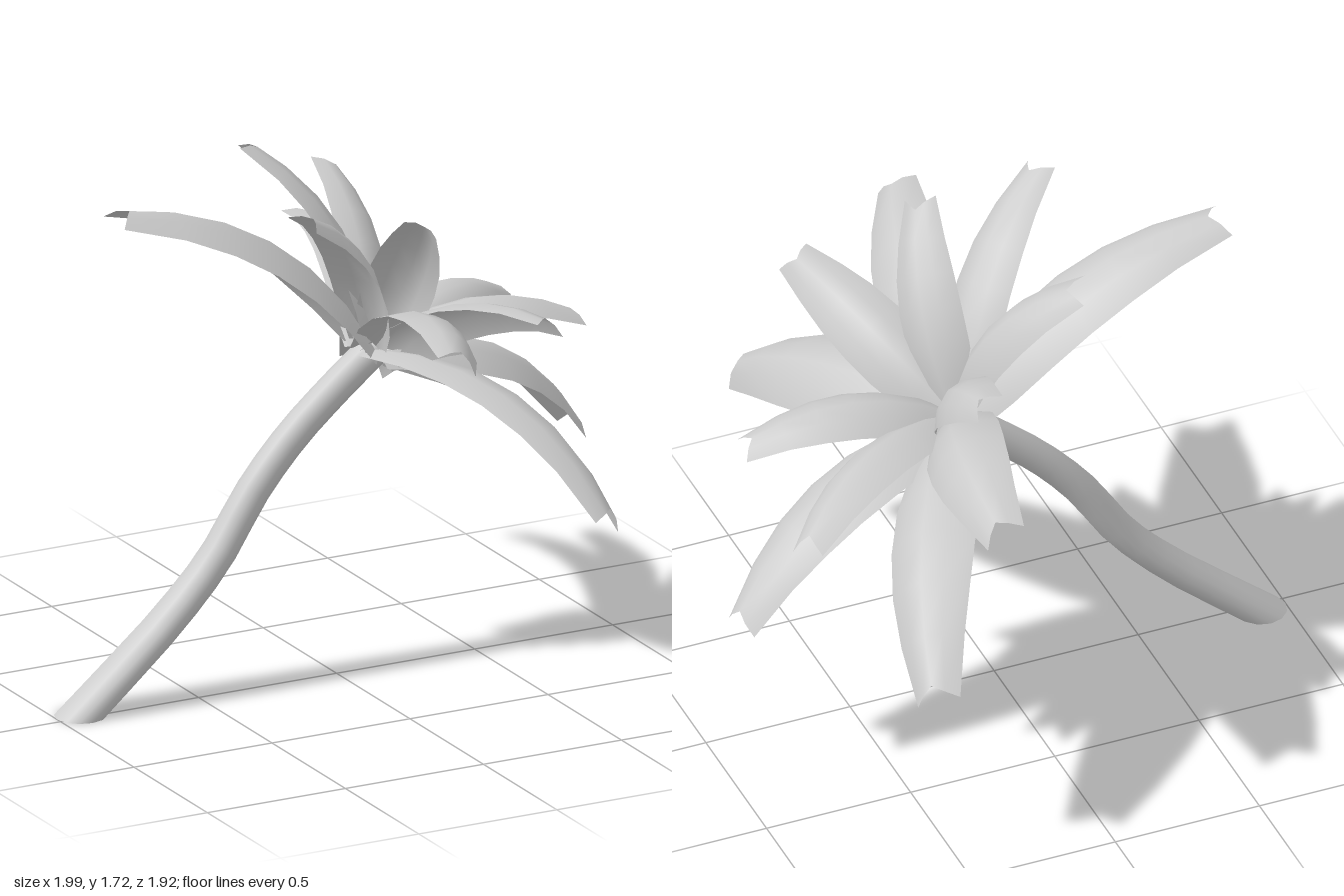
import * as THREE from 'three';
import { toCreasedNormals } from 'three/addons/utils/BufferGeometryUtils.js';

const material = new THREE.MeshStandardMaterial({ color: 0xcccccc, side: THREE.DoubleSide });
const V = (x, y, z) => new THREE.Vector3(x, y, z);
const crown = V(0.14, 1.06, -0.02);
const crownAxis = V(0.52, 0.85, 0).normalize();

// Leaning S-curved trunk, flared and cut level at the ground
function createTrunk() {
  const path = new THREE.CatmullRomCurve3([
    V(-0.915, 0, -0.025), V(-0.6, 0.27, -0.025), V(-0.43, 0.45, -0.025), V(-0.29, 0.66, -0.025),
    V(-0.15, 0.82, -0.025), V(0.01, 0.96, -0.025), V(0.15, 1.07, -0.025)]);
  const geometry = new THREE.CylinderGeometry(1, 1, 1, 12, 14);
  const pos = geometry.attributes.position;
  for (let i = 0; i < pos.count; i++) {
    const u = pos.getY(i) + 0.5;
    const p = path.getPoint(u), t = path.getTangent(u);
    const ground = u < 0.01;
    const across = ground ? V(1, 0, 0) : V(t.y, -t.x, 0);
    p.addScaledVector(across, pos.getX(i) * (ground ? 0.085 : 0.055));
    p.z += pos.getZ(i) * (0.054 + 0.031 * Math.pow(1 - u, 3));
    pos.setXYZ(i, p.x, p.y, p.z);
  }
  const trunk = new THREE.Mesh(toCreasedNormals(geometry, 0.8), material);
  trunk.name = 'trunk';
  return trunk;
}

// Half-width along a leaf, from root to tip, as a share of the widest part
const profile = [0.55, 0.88, 1, 1, 0.92, 0.75, 0.5];

// Arched leaf with drooping sides and a notched, blunt tip
function createLeaf(tip, halfWidth, bow) {
  const chord = tip.clone().sub(crown).normalize();
  const up = crownAxis.clone().addScaledVector(chord, -crownAxis.dot(chord)).normalize();
  const control = crown.clone().lerp(tip, 0.5).addScaledVector(up, 2 * bow);
  const path = new THREE.QuadraticBezierCurve3(crown, control, tip);
  const rows = profile.length - 1;
  const geometry = new THREE.PlaneGeometry(2, 1, 4, rows);
  const pos = geometry.attributes.position;
  for (let i = 0; i < pos.count; i++) {
    const v = pos.getX(i), u = pos.getY(i) + 0.5;
    const w = halfWidth * profile[Math.round(u * rows)];
    const p = path.getPoint(u), t = path.getTangent(u);
    const side = t.clone().cross(crownAxis).normalize();
    const normal = side.clone().cross(t);
    p.addScaledVector(side, v * w).addScaledVector(normal, w * (0.15 - 0.5 * v * v));
    if (u > 0.99) p.addScaledVector(t, 0.05 * (Math.abs(v) - 0.6));
    pos.setXYZ(i, p.x, p.y, p.z);
  }
  geometry.computeVertexNormals();
  const leaf = new THREE.Mesh(geometry, material);
  leaf.name = 'leaf';
  return leaf;
}

export function createModel() {
  const model = new THREE.Group();
  model.name = 'palmTree';
  model.add(createTrunk());

  // Leaf tips: x, y, z, half-width, bow
  const tips = [
    [-0.74, 1.65, -0.08, 0.16, 0.13],
    [0.59, 0.69, -0.91, 0.155, 0.13],
    [0.34, 1.24, -0.86, 0.14, 0.11],
    [0.27, 1.52, -0.56, 0.115, 0.08],
    [-0.14, 1.71, -0.34, 0.125, 0.1],
    [0.83, 1.03, -0.43, 0.125, 0.1],
    [0.98, 0.63, -0.22, 0.15, 0.13],
    [0.84, 1.1, 0.06, 0.115, 0.1],
    [0.42, 1.32, 0.66, 0.12, 0.09],
    [0.5, 0.73, 0.93, 0.155, 0.13],
    [-0.02, 1.34, 0.88, 0.14, 0.12],
    [-0.29, 1.69, 0.35, 0.12, 0.1],
    [0.1, 1.62, 0.4, 0.115, 0.08],
  ];
  const leaves = new THREE.Group();
  leaves.name = 'leaves';
  for (const [x, y, z, width, bow] of tips) leaves.add(createLeaf(V(x, y, z), width, bow));
  model.add(leaves);
  return model;
}
